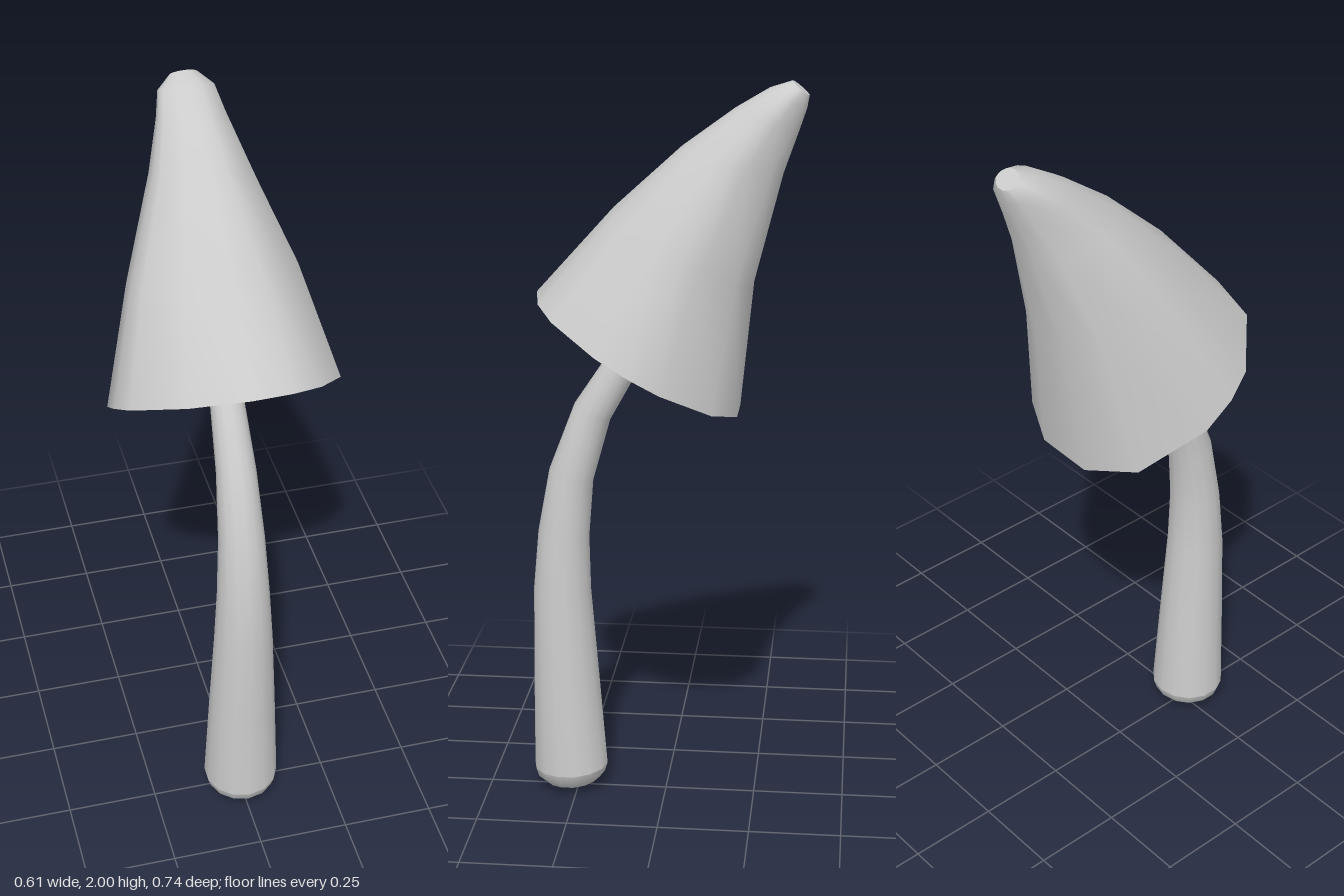
import * as THREE from 'three';

// Corner directions in degrees: 0 = front, positive = towards +x
const ROUND = Array.from({ length: 14 }, (_, i) => i * 360 / 14);
const UNEVEN = [-164, -135, -98, -80, -64, -30, 0, 22, 41, 72, 90, 107, 139, 165];

// A ring is [front z, front y, back z, back y, half width in x, sag at the right back].
// Surface through the rings from first to last (outward when they run upwards).
function loft(rings, angles) {
  const pos = [], idx = [], count = angles.length;
  rings.forEach(([fz, fy, bz, by, w, sag], j) => {
    angles.forEach((deg, i) => {
      const a = THREE.MathUtils.degToRad(deg), k = (1 + Math.cos(a)) / 2;
      const drop = Math.sin(a) < 0 ? sag * Math.max(0, Math.sin(2 * a)) : 0;
      pos.push(w * Math.sin(a), by + (fy - by) * k - drop, bz + (fz - bz) * k);
      if (j < rings.length - 1) {
        const n = (i + 1) % count, p = j * count;
        idx.push(p + i, p + n, p + count + i, p + n, p + count + n, p + count + i);
      }
    });
  });
  const g = new THREE.BufferGeometry();
  g.setAttribute('position', new THREE.Float32BufferAttribute(pos, 3));
  g.setIndex(idx);
  g.computeVertexNormals();
  return g;
}

const mix = (a, b, t) => a.map((v, i) => v + (b[i] - v) * t);

// Shrinks a ring about its own centre
function shrink([fz, fy, bz, by, w, sag], s) {
  const cz = (fz + bz) / 2, cy = (fy + by) / 2;
  return [cz + (fz - cz) * s, cy + (fy - cy) * s, cz + (bz - cz) * s, cy + (by - cy) * s, w * s, sag * s];
}

export function createModel() {
  const model = new THREE.Group();
  const material = new THREE.MeshStandardMaterial({ color: 0xcccccc, side: THREE.DoubleSide });
  const add = (name, geometry, parent) => {
    const mesh = new THREE.Mesh(geometry, material);
    mesh.name = name;
    parent.add(mesh);
  };

  // Stem: tapering circles set square to a bent centre line [z, y, radius]
  const stem = new THREE.Group();
  stem.name = 'stem';
  const line = [
    [0.271, 0.07, 0.104], [0.281, 0.35, 0.092], [0.289, 0.6, 0.08], [0.283, 0.76, 0.071],
    [0.26, 0.93, 0.062], [0.2, 1.11, 0.053], [0.105, 1.265, 0.045], [0.01, 1.4, 0.04],
  ];
  const stemRings = line.map(([z, y, r], i) => {
    const p = line[Math.max(0, i - 1)], n = line[Math.min(line.length - 1, i + 1)];
    const len = Math.hypot(n[0] - p[0], n[1] - p[1]);
    const dz = (n[1] - p[1]) / len * r, dy = -(n[0] - p[0]) / len * r;
    return [z + dz, y + dy, z - dz, y - dy, r, 0];
  });
  stemRings.push(shrink(stemRings[stemRings.length - 1], 0));
  add('stalk', loft(stemRings, ROUND), stem);

  // Rounded foot under the stem
  const foot = [];
  for (let i = 0; i <= 4; i++) {
    const a = (i / 4) * Math.PI / 2;
    const ring = shrink(stemRings[0], Math.sin(a));
    const drop = 0.066 * Math.cos(a);
    foot.push([ring[0], ring[1] - drop, ring[2], ring[3] - drop, ring[4], 0]);
  }
  add('foot', loft(foot, ROUND), stem);
  model.add(stem);

  // Cap: a bent cone leaning backwards
  const cap = new THREE.Group();
  cap.name = 'cap';
  const rings = [
    [0.346, 1.437, -0.206, 1.12, 0.305, 0.02],
    [0.138, 1.667, -0.238, 1.465, 0.222, 0],
    [-0.042, 1.83, -0.312, 1.767, 0.13, 0],
    [-0.18, 1.93, -0.35, 1.88, 0.09, 0],
    [-0.268, 1.982, -0.366, 1.932, 0.074, 0],
    [-0.325, 2.0, -0.37, 1.962, 0.036, 0],
  ];
  const [rim, shoulder] = rings, tip = rings[5];
  add('capShell', loft(rings, UNEVEN), cap);
  add('capTip', loft([tip, shrink(tip, 0)], UNEVEN), cap);

  // Rim edge and hollow underside
  const inner = shrink(rim, 0.94);
  const wall = shrink(mix(rim, shoulder, 0.28), 0.84);
  const ceiling = shrink(mix(rim, shoulder, 0.5), 0);
  add('capRim', loft([inner, rim], UNEVEN), cap);
  add('capInnerWall', loft([wall, inner], UNEVEN), cap);
  add('capCeiling', loft([ceiling, wall], UNEVEN), cap);
  model.add(cap);

  return model;
}
